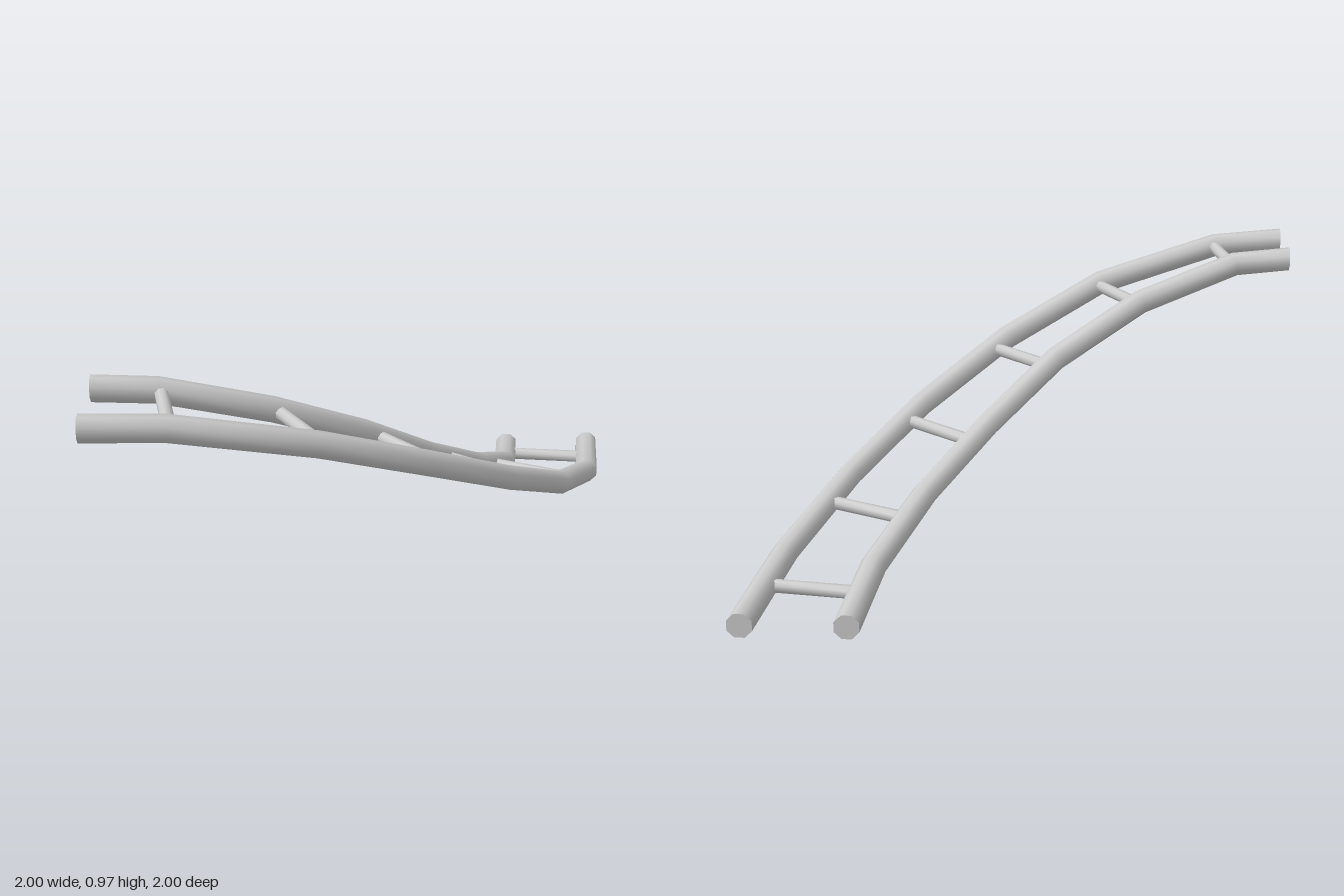
import * as THREE from 'three';
import { toCreasedNormals } from 'three/addons/utils/BufferGeometryUtils.js';

const SIDES = 8;
const V = (p) => new THREE.Vector3(...p);

// Mitred eight-sided bar along a polyline; optional vertical end planes.
function bar(points, radius, startDir, endDir) {
  const pos = [], index = [], last = points.length - 1;
  const dir = (i) => points[i + 1].clone().sub(points[i]).normalize();
  points.forEach((p, i) => {
    let t;
    if (i === 0) t = startDir || dir(0);
    else if (i === last) t = endDir || dir(last - 1);
    else t = dir(i - 1).add(dir(i)).normalize();
    const side = new THREE.Vector3(0, 1, 0).cross(t).normalize();
    const up = t.clone().cross(side);
    for (let k = 0; k < SIDES; k++) {
      const a = ((k + 0.5) / SIDES) * Math.PI * 2;
      const v = p.clone().addScaledVector(side, Math.cos(a) * radius).addScaledVector(up, Math.sin(a) * radius);
      pos.push(v.x, v.y, v.z);
    }
  });
  for (let i = 0; i < last; i++) {
    for (let k = 0; k < SIDES; k++) {
      const n = (k + 1) % SIDES, a = i * SIDES + k, b = i * SIDES + n;
      index.push(a, b, b + SIDES, a, b + SIDES, a + SIDES);
    }
  }
  // End caps
  const e = last * SIDES;
  for (let k = 1; k < SIDES - 1; k++) index.push(0, k + 1, k, e, e + k, e + k + 1);
  const g = new THREE.BufferGeometry();
  g.setAttribute('position', new THREE.Float32BufferAttribute(pos, 3));
  g.setIndex(index);
  return toCreasedNormals(g, THREE.MathUtils.degToRad(50));
}

export function createModel() {
  const model = new THREE.Group();
  model.name = 'curvedLadderTrack';
  const material = new THREE.MeshStandardMaterial({ color: 0xcccccc });
  const add = (name, geometry) => {
    const mesh = new THREE.Mesh(geometry, material);
    mesh.name = name;
    model.add(mesh);
  };

  // Rails: both climb through the same heights
  const heights = [0.046, 0.11, 0.25, 0.425, 0.615, 0.79, 0.917, 0.935];
  const outerPlan = [[0.955, -1], [0.88, -0.53], [0.7, -0.1], [0.455, 0.24], [0.135, 0.535], [-0.245, 0.77], [-0.725, 0.922], [-1, 0.955]];
  const innerPlan = [[0.597, -1], [0.55, -0.64], [0.4, -0.3], [0.18, 0], [-0.07, 0.24], [-0.4, 0.445], [-0.78, 0.575], [-1, 0.597]];
  const lift = (plan) => plan.map(([x, z], i) => V([x, heights[i], z]));
  const outer = lift(outerPlan), inner = lift(innerPlan);
  const startDir = V([0, 0, 1]), endDir = V([-1, 0, 0]);
  add('outerRail', bar(outer, 0.0465, startDir, endDir));
  add('innerRail', bar(inner, 0.0465, startDir, endDir));

  // Rungs: position along the rails, counted in rail sections
  const along = (rail, s) => {
    const i = Math.floor(s);
    return rail[i].clone().lerp(rail[i + 1], s - i);
  };
  [[0.55, 0.54], [1.65, 1.64], [2.74, 2.76], [3.88, 3.83], [4.97, 4.95], [5.98, 5.98]].forEach(([a, b], i) => {
    add('rung' + (i + 1), bar([along(inner, a), along(outer, b)], 0.024));
  });
  return model;
}
